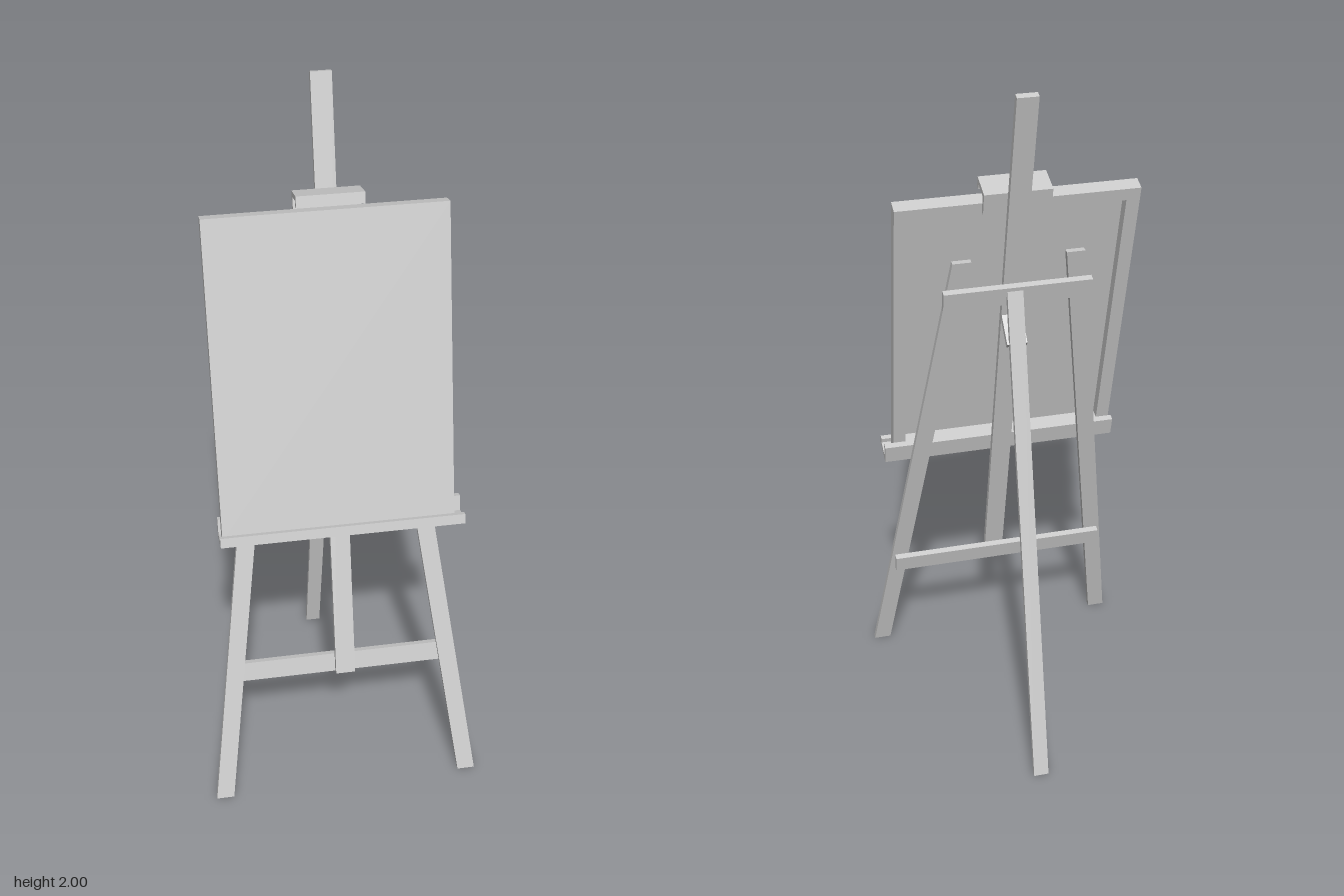
import * as THREE from 'three';

const material = new THREE.MeshStandardMaterial({ color: 0xcccccc, flatShading: true });
const LEAN = 0.2563; // backward lean of the front frame
const FOOT_Z = 0.362;
const AXIS_X = 0.01; // mast, tray, clamp and rear leg share this centre line

function addMesh(parent, name, geometry) {
  const mesh = new THREE.Mesh(geometry, material);
  mesh.name = name;
  parent.add(mesh);
  return mesh;
}

// Box given by its min and max limits on each axis
function block(parent, name, [x0, x1], [y0, y1], [z0, z1]) {
  const geometry = new THREE.BoxGeometry(x1 - x0, y1 - y0, z1 - z0);
  geometry.translate((x0 + x1) / 2, (y0 + y1) / 2, (z0 + z1) / 2);
  return addMesh(parent, name, geometry);
}

// Bar running from foot to top with both ends cut level
function slantedBar(parent, name, foot, top, width, depth) {
  const geometry = new THREE.BoxGeometry(width, 1, depth);
  const p = geometry.attributes.position;
  for (let i = 0; i < p.count; i++) {
    const t = p.getY(i) + 0.5;
    p.setXYZ(
      i,
      p.getX(i) + THREE.MathUtils.lerp(foot[0], top[0], t),
      THREE.MathUtils.lerp(foot[1], top[1], t),
      p.getZ(i) + THREE.MathUtils.lerp(foot[2], top[2], t)
    );
  }
  geometry.computeVertexNormals();
  return addMesh(parent, name, geometry);
}

function centred(width, x = AXIS_X) {
  return [x - width / 2, x + width / 2];
}

export function createModel() {
  const easel = new THREE.Group();
  easel.name = 'easel';

  // Splayed front legs
  const legTop = 1.52;
  for (const [side, name] of [[1, 'leftFrontLeg'], [-1, 'rightFrontLeg']]) {
    slantedBar(easel, name,
      [side * 0.36, 0, FOOT_Z],
      [side * 0.151, legTop, FOOT_Z - legTop * Math.tan(LEAN)],
      0.05, 0.018);
  }

  // Rear leg and the short strut that joins it to the mast
  slantedBar(easel, 'rearLeg', [AXIS_X, 0, -0.358], [AXIS_X, 1.42, -0.032], 0.043, 0.017);
  const strut = addMesh(easel, 'strut', new THREE.BoxGeometry(0.055, 0.018, 0.085));
  strut.position.set(AXIS_X, 1.298, -0.026);
  strut.rotation.x = -0.7;

  // Leaning frame: local y runs up the mast, local z points out of its front
  const frame = new THREE.Group();
  frame.name = 'leaningFrame';
  frame.position.z = FOOT_Z;
  frame.rotation.x = -LEAN;
  easel.add(frame);

  block(frame, 'mast', centred(0.055), [0.367, 2.064], [-0.009, 0.009]);
  block(frame, 'lowerCrossbar', centred(0.64, 0), [0.367, 0.423], [-0.027, -0.009]);
  block(frame, 'upperCrossbar', centred(0.4, 0), [1.43, 1.487], [-0.027, -0.009]);

  // Tray: back board, shelf and front lip
  const tray = new THREE.Group();
  tray.name = 'tray';
  frame.add(tray);
  const trayX = centred(0.674);
  block(tray, 'trayBack', trayX, [0.834, 0.892], [0.009, 0.027]);
  block(tray, 'trayShelf', trayX, [0.834, 0.848], [0.027, 0.074]);
  block(tray, 'trayLip', trayX, [0.834, 0.862], [0.074, 0.088]);

  // Top clamp: back plate, cover and front lip
  const clamp = new THREE.Group();
  clamp.name = 'topClamp';
  frame.add(clamp);
  const clampX = centred(0.177);
  block(clamp, 'clampBack', clampX, [1.71, 1.772], [0.009, 0.023]);
  block(clamp, 'clampCover', clampX, [1.758, 1.772], [0.023, 0.073]);
  block(clamp, 'clampLip', clampX, [1.742, 1.772], [0.073, 0.086]);

  // Canvas: front sheet on a hollow stretcher frame
  const canvas = new THREE.Group();
  canvas.name = 'canvas';
  frame.add(canvas);
  const [halfW, bottom, top, rail] = [0.32, 0.848, 1.729, 0.036];
  block(canvas, 'canvasSheet', [-halfW, halfW], [bottom, top], [0.062, 0.072]);
  const rectangle = (inset, PathType) => new PathType([
    new THREE.Vector2(-halfW + inset, bottom + inset),
    new THREE.Vector2(halfW - inset, bottom + inset),
    new THREE.Vector2(halfW - inset, top - inset),
    new THREE.Vector2(-halfW + inset, top - inset),
  ]);
  const outline = rectangle(0, THREE.Shape);
  outline.holes.push(rectangle(rail, THREE.Path));
  const stretcher = new THREE.ExtrudeGeometry(outline, { depth: 0.03, bevelEnabled: false });
  addMesh(canvas, 'stretcherFrame', stretcher).position.z = 0.032;

  return easel;
}
